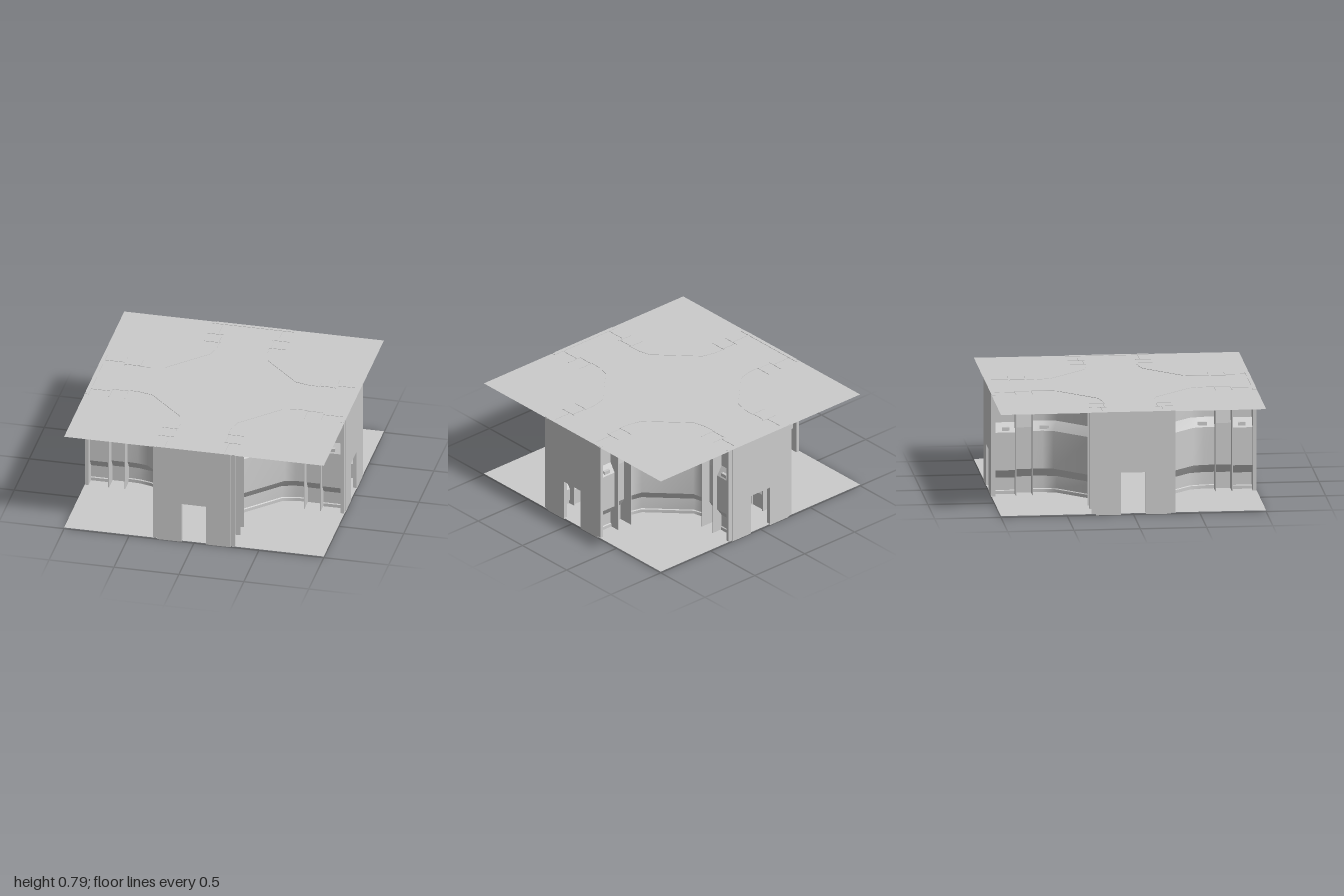
import * as THREE from 'three';
import { mergeGeometries } from 'three/addons/utils/BufferGeometryUtils.js';

const grey = new THREE.MeshStandardMaterial({ color: 0xcccccc, side: THREE.DoubleSide });
const H = 0.79, FLOOR = 0.01;

// wall profiles: [height, outward offset]
const wallProfile = [[FLOOR, 0.008], [0.035, 0.008], [0.04, 0], [0.135, 0], [0.2, 0.045], [0.49, 0.045], [0.56, 0], [H, 0]];
const columnProfile = [[FLOOR, 0], [0.135, 0], [0.2, 0.04], [0.52, 0.04], [0.62, 0.025], [H, 0]];

function add(group, name, geometry, x = 0, y = 0, z = 0) {
  const mesh = new THREE.Mesh(geometry, grey);
  mesh.name = name;
  mesh.position.set(x, y, z);
  group.add(mesh);
  return mesh;
}

// sweep a wall profile along a plan path of [x, z]; smooth along the path, creased between bands
function sweepWall(path, profile) {
  const normals = path.map((p, i) => {
    const a = path[Math.max(i - 1, 0)], b = path[Math.min(i + 1, path.length - 1)];
    return new THREE.Vector2(b[1] - a[1], a[0] - b[0]).normalize();
  });
  const bands = [];
  for (let k = 0; k < profile.length - 1; k++) {
    const positions = [], index = [];
    path.forEach(([x, z], i) => {
      for (const [y, d] of [profile[k], profile[k + 1]]) {
        positions.push(x + normals[i].x * d, y, z + normals[i].y * d);
      }
      if (i > 0) {
        const a = 2 * i - 2;
        index.push(a, a + 1, a + 2, a + 1, a + 3, a + 2);
      }
    });
    const g = new THREE.BufferGeometry();
    g.setAttribute('position', new THREE.Float32BufferAttribute(positions, 3));
    g.setIndex(index);
    g.computeVertexNormals();
    bands.push(g);
  }
  return mergeGeometries(bands);
}

// one side: a thin slab with a door opening and set-back rims
function doorSide() {
  const side = new THREE.Group();
  side.name = 'doorSide';
  const w = 0.283, d = 0.094, h = 0.323;
  const shape = new THREE.Shape([
    [-w, 0], [-d, 0], [-d, h], [d, h], [d, 0], [w, 0], [w, H], [-w, H],
  ].map(([x, y]) => new THREE.Vector2(x, y)));
  add(side, 'doorWall', new THREE.ExtrudeGeometry(shape, { depth: 0.03, bevelEnabled: false }), 0, 0, 0.97);
  for (const s of [-1, 1]) {
    add(side, 'doorWallRim', new THREE.BoxGeometry(0.032, H - FLOOR, 0.026), s * 0.299, (H + FLOOR) / 2, 0.983);
  }
  return side;
}

// one corner: bent wall, then column, panel and ribs along both corridors
function corner() {
  const g = new THREE.Group();
  g.name = 'corner';
  const bend = [[0.69, 0.19], [0.6, 0.195], [0.5, 0.22], [0.22, 0.5], [0.195, 0.6], [0.19, 0.69]];
  add(g, 'cornerWall', sweepWall(bend, wallProfile));

  for (const swap of [false, true]) {
    const at = ([x, z]) => (swap ? [z, x] : [x, z]);
    const strip = (...points) => (swap ? points.reverse() : points).map(at);
    add(g, 'corridorColumn', sweepWall(strip([0.815, 0.2], [0.69, 0.2]), columnProfile));
    add(g, 'corridorPanel', sweepWall(strip([0.97, 0.23], [0.82, 0.23]), wallProfile));

    const block = (name, x, y, z, sx, sy, sz) => {
      const [px, pz] = at([x, z]), [bx, bz] = at([sx, sz]);
      add(g, name, new THREE.BoxGeometry(bx, sy, bz), px, y, pz);
    };
    block('outerRib', 0.815, (H + FLOOR) / 2, 0.25, 0.008, H - FLOOR, 0.13);
    block('innerRib', 0.69, (H + FLOOR) / 2, 0.25, 0.004, H - FLOOR, 0.13);
    block('panelLamp', 0.89, 0.516, 0.255, 0.055, 0.026, 0.035);
    block('wallLamp', 0.595, 0.516, 0.22, 0.07, 0.026, 0.035);
  }
  return g;
}

export function createModel() {
  const model = new THREE.Group();
  model.name = 'crossRoom';

  for (const [name, y] of [['floor', FLOOR], ['ceiling', H - 0.003]]) {
    add(model, name, new THREE.PlaneGeometry(2, 2).rotateX(-Math.PI / 2), 0, y, 0);
  }
  for (let i = 0; i < 4; i++) {
    for (const part of [doorSide(), corner()]) {
      part.rotation.y = i * Math.PI / 2;
      model.add(part);
    }
  }
  return model;
}
